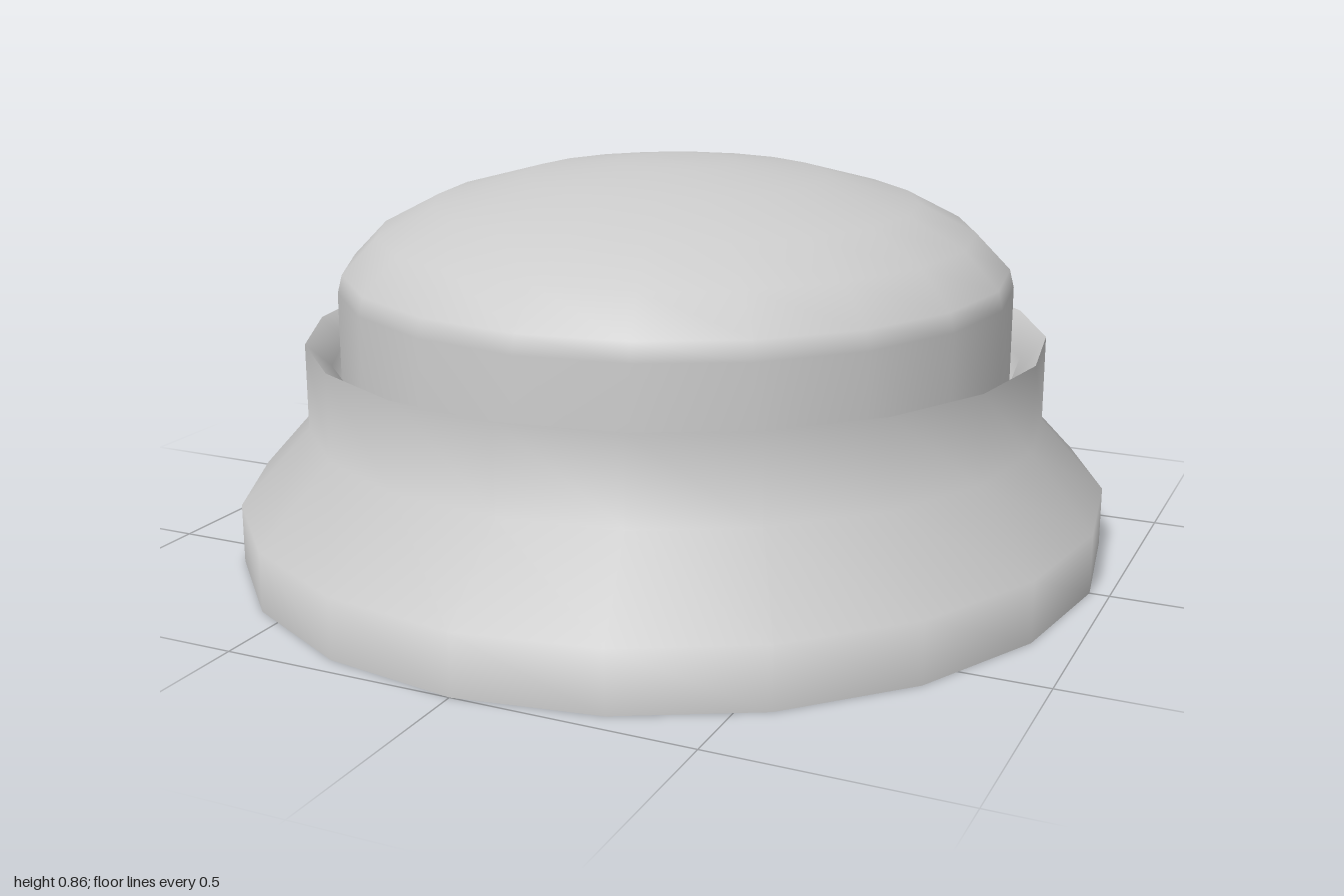
import * as THREE from 'three';

const SIDES = 20;
const material = new THREE.MeshStandardMaterial({ color: 0xcccccc });

// Smooth turned surface; the profile runs counter-clockwise (bottom, out, up, in)
function turned(name, profile) {
  const points = profile.map(([r, y]) => new THREE.Vector2(r, y));
  const geometry = new THREE.LatheGeometry(points, SIDES);
  // The wide foot is slightly narrower across x
  const pos = geometry.attributes.position;
  for (let i = 0; i < pos.count; i++) {
    if (Math.hypot(pos.getX(i), pos.getZ(i)) > 0.95) pos.setX(i, pos.getX(i) * 0.958);
  }
  const mesh = new THREE.Mesh(geometry, material);
  mesh.name = name;
  return mesh;
}

export function createModel() {
  const model = new THREE.Group();
  model.name = 'pushButton';

  // Housing: flat underside, flared foot with collar, and funnel-shaped inner lip
  const housing = new THREE.Group();
  housing.name = 'housing';
  housing.add(
    turned('underside', [[0, 0], [1, 0]]),
    turned('footAndCollar', [[1, 0], [1, 0.13], [0.82, 0.29], [0.82, 0.48]]),
    turned('innerLip', [[0.82, 0.48], [0.765, 0.43], [0.755, 0.36], [0.7, 0.36]])
  );

  // Domed cap sitting inside the collar
  const cap = turned('domedCap', [
    [0.745, 0.36], [0.745, 0.59], [0.735, 0.63], [0.66, 0.708],
    [0.535, 0.773], [0.335, 0.828], [0.13, 0.855], [0, 0.857],
  ]);

  model.add(housing, cap);
  return model;
}
